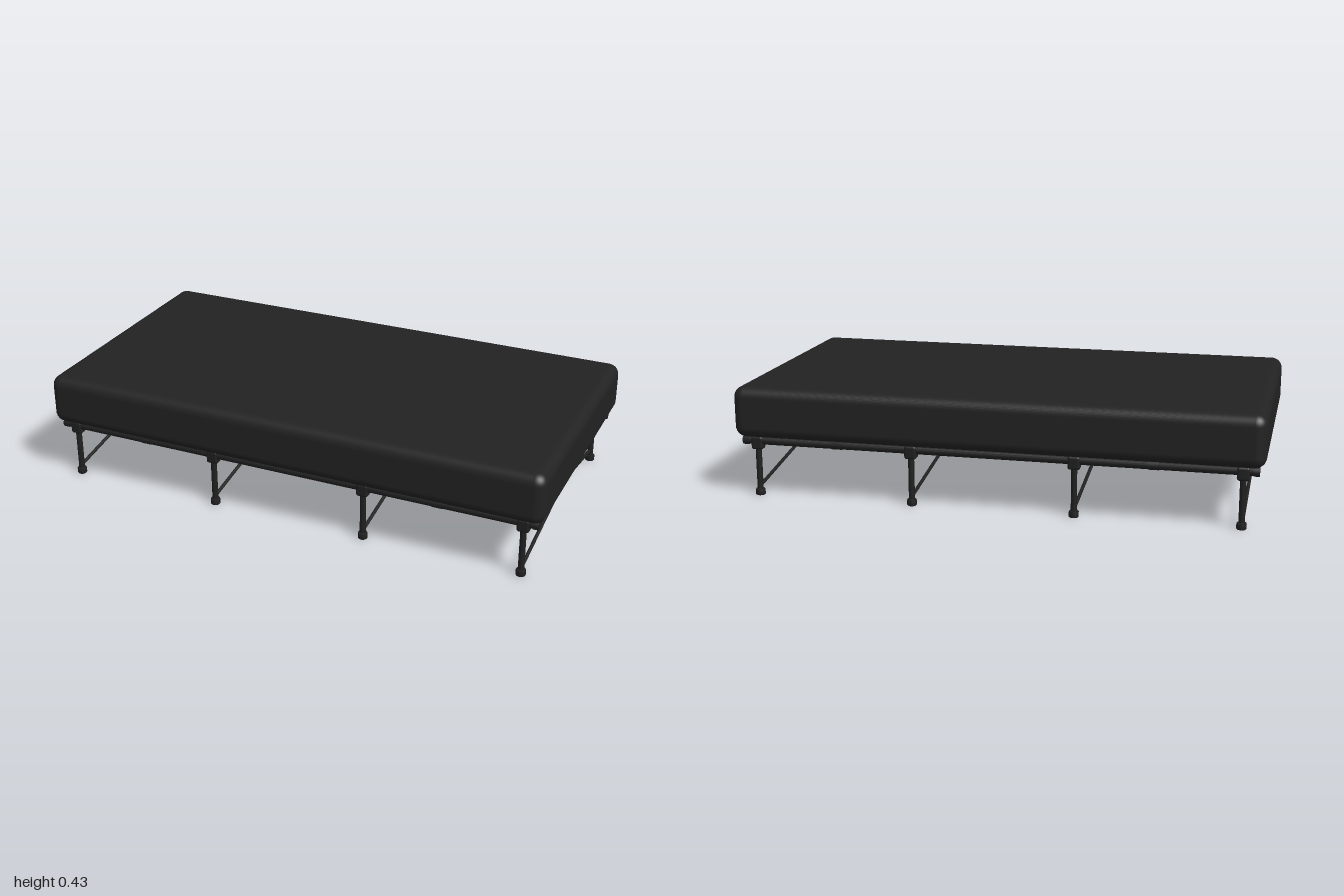
import * as THREE from 'three';
import { RoundedBoxGeometry } from 'three/addons/geometries/RoundedBoxGeometry.js';

export function createModel() {
  const model = new THREE.Group();
  const fabric = new THREE.MeshStandardMaterial({ color: 0x222222 });
  fabric.name = 'charcoal fabric';
  const metal = new THREE.MeshStandardMaterial({ color: 0x202020 });
  metal.name = 'black metal';

  const add = (parent, name, geometry, material, x, y, z) => {
    const mesh = new THREE.Mesh(geometry, material);
    mesh.name = name;
    mesh.position.set(x, y, z);
    parent.add(mesh);
    return mesh;
  };

  // round tube between two points
  const tube = (parent, name, from, to, radius) => {
    const a = new THREE.Vector3(...from), b = new THREE.Vector3(...to);
    const dir = b.clone().sub(a);
    const mid = a.clone().add(b).multiplyScalar(0.5);
    const mesh = add(parent, name, new THREE.CylinderGeometry(radius, radius, dir.length(), 16),
      metal, mid.x, mid.y, mid.z);
    mesh.quaternion.setFromUnitVectors(new THREE.Vector3(0, 1, 0), dir.normalize());
    return mesh;
  };

  // mattress
  add(model, 'mattress', new RoundedBoxGeometry(2, 0.197, 1.046, 6, 0.042), fabric, 0, 0.3325, 0);

  const railZ = 0.47;

  // long side rails with end caps and joining sleeves
  for (const z of [-railZ, railZ]) {
    tube(model, 'sideRail', [-0.96, 0.217, z], [0.96, 0.217, z], 0.016);
    for (const s of [-1, 1]) {
      tube(model, 'railEndCap', [s * 0.955, 0.217, z], [s * 0.977, 0.217, z], 0.018);
      tube(model, 'railSleeve', [s * 0.58, 0.217, z], [s * 0.62, 0.217, z], 0.0175);
    }
  }

  // foot cap profile with softened edges
  const footProfile = [[0, 0], [0.016, 0], [0.0185, 0.003], [0.0185, 0.021], [0.016, 0.025], [0, 0.025]]
    .map(([r, y]) => new THREE.Vector2(r, y));
  const footGeometry = new THREE.LatheGeometry(footProfile, 20);
  const legGeometry = new THREE.CylinderGeometry(0.0115, 0.0115, 0.19, 16);
  const collarGeometry = new RoundedBoxGeometry(0.046, 0.051, 0.038, 3, 0.009);

  // four leg frames: cross rail, crossed braces and two legs
  for (const x of [-0.92, -0.31, 0.31, 0.92]) {
    const frame = new THREE.Group();
    frame.name = 'legFrame';
    frame.position.x = x;
    model.add(frame);
    tube(frame, 'crossRail', [0, 0.2135, -railZ], [0, 0.2135, railZ], 0.0125);
    for (const s of [-1, 1]) {
      const z = s * railZ;
      add(frame, 'leg', legGeometry, metal, 0, 0.11, z);
      add(frame, 'foot', footGeometry, metal, 0, 0.004, z).position.y = 0;
      add(frame, 'collar', collarGeometry, metal, 0, 0.2085, z);
      tube(frame, 'brace', [s * 0.004, 0.04, z], [s * 0.004, 0.197, -z], 0.0065);
    }
  }
  return model;
}
